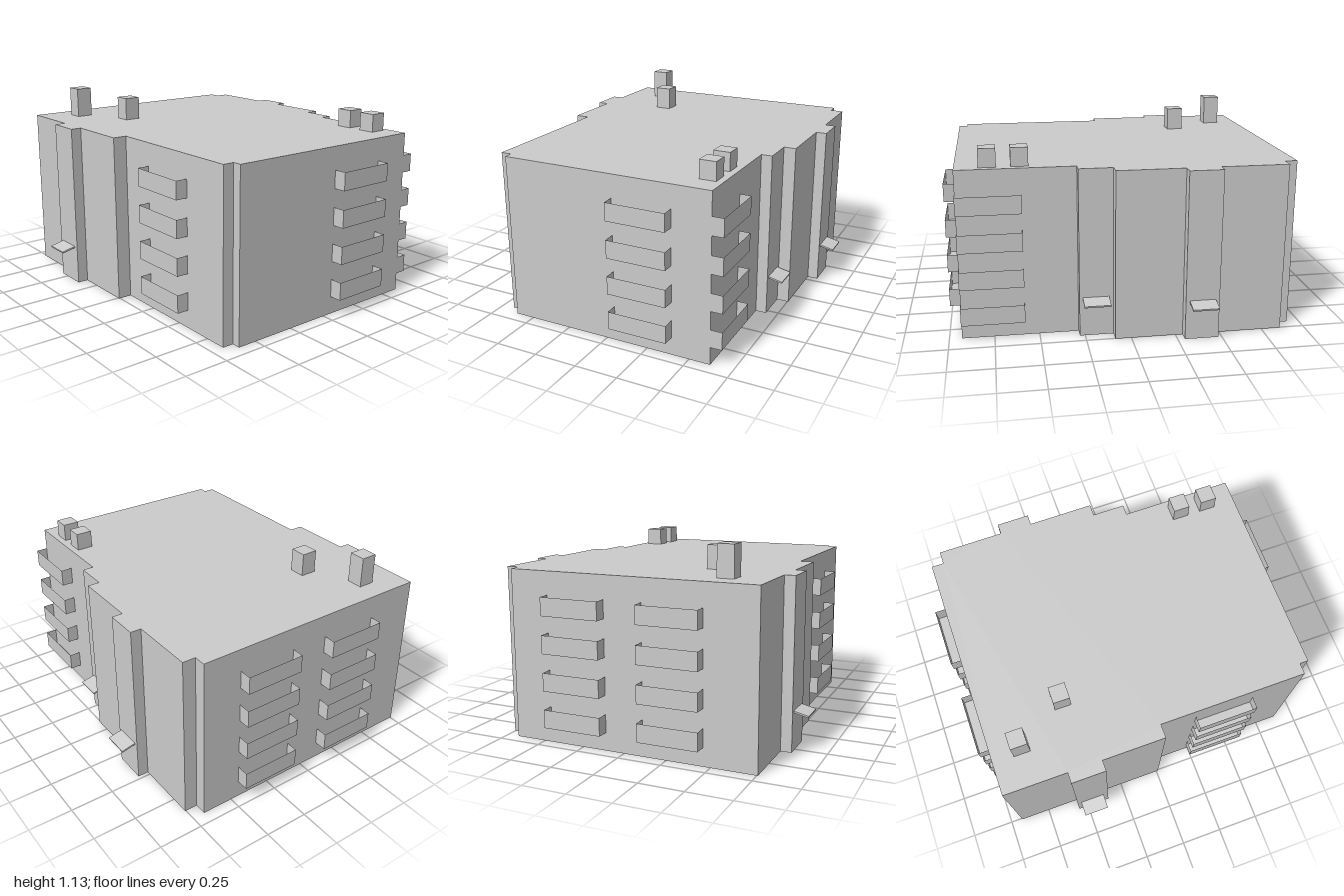
import * as THREE from 'three';

const ROOF_Y = 0.96;

// Plan of the outer wall as [x, z], running from the back right corner along the back
const PLAN = [
  [-0.93, -0.68], [-0.86, -0.68], [-0.86, -0.755], [-0.48, -0.755], [-0.48, -0.817], [-0.29, -0.817],
  [-0.29, -0.755], [0.09, -0.755], [0.09, -0.685], [0.28, -0.685], [0.28, -0.622], [0.93, -0.622],
  [0.93, 0.612], [0.88, 0.612], [0.88, 0.676], [0.01, 0.676], [0.01, 0.756], [-0.36, 0.756],
  [-0.36, 0.818], [-0.56, 0.818], [-0.56, 0.756], [-0.93, 0.756],
];

const solid = new THREE.MeshStandardMaterial({ color: 0xcccccc, flatShading: true });
const thin = new THREE.MeshStandardMaterial({ color: 0xcccccc, flatShading: true, side: THREE.DoubleSide });

function addMesh(parent, name, geometry, material) {
  const mesh = new THREE.Mesh(geometry, material);
  mesh.name = name;
  parent.add(mesh);
  return mesh;
}

// One upright panel for each edge of the plan
function wallGeometry() {
  const points = [];
  PLAN.forEach(([ax, az], i) => {
    const [bx, bz] = PLAN[(i + 1) % PLAN.length];
    points.push(ax, 0, az, ax, ROOF_Y, az, bx, ROOF_Y, bz);
    points.push(ax, 0, az, bx, ROOF_Y, bz, bx, 0, bz);
  });
  const geometry = new THREE.BufferGeometry();
  geometry.setAttribute('position', new THREE.Float32BufferAttribute(points, 3));
  geometry.computeVertexNormals();
  return geometry;
}

// Tray facing local +z, open at the top and towards the wall
function balconyGeometry(width, height, depth) {
  const geometry = new THREE.BoxGeometry(width, height, depth);
  const index = Array.from(geometry.index.array);
  geometry.setIndex([...index.slice(0, 12), ...index.slice(18, 30)]);
  geometry.clearGroups();
  geometry.translate(0, height / 2, depth / 2);
  return geometry;
}

export function createModel() {
  const model = new THREE.Group();
  model.name = 'apartmentBlock';

  // Hollow shell, open underneath
  addMesh(model, 'walls', wallGeometry(), thin);
  const roofShape = new THREE.Shape(PLAN.map(([x, z]) => new THREE.Vector2(x, -z)));
  const roof = new THREE.ShapeGeometry(roofShape).rotateX(-Math.PI / 2).translate(0, ROOF_Y, 0);
  addMesh(model, 'roof', roof, thin);

  // Balcony columns: wall position, direction faced, width, depth
  const columns = [
    ['frontBalcony', 0.408, 0.676, 0, 0.35, 0.068],
    ['backBalcony', 0.755, -0.622, Math.PI, 0.35, 0.066],
    ['leftBalcony', 0.93, -0.226, Math.PI / 2, 0.345, 0.07],
    ['rightRearBalcony', -0.93, -0.28, -Math.PI / 2, 0.345, 0.07],
    ['rightFrontBalcony', -0.93, 0.286, -Math.PI / 2, 0.345, 0.07],
  ];
  for (const [name, x, z, turn, width, depth] of columns) {
    const column = new THREE.Group();
    column.name = name + 'Column';
    column.position.set(x, 0, z);
    column.rotation.y = turn;
    for (let floor = 0; floor < 4; floor++) {
      addMesh(column, name, balconyGeometry(width, 0.103, depth), thin).position.y = 0.102 + floor * 0.208;
    }
    model.add(column);
  }

  // Sloping canopies over the entrances
  const canopies = [
    ['frontCanopy', -0.463, 0.818, 0],
    ['backCanopy', -0.385, -0.817, Math.PI],
    ['sideBackCanopy', 0.188, -0.685, Math.PI],
  ];
  for (const [name, x, z, turn] of canopies) {
    const slab = new THREE.BoxGeometry(0.147, 0.01, 0.086);
    slab.translate(0, 0, 0.041).rotateX(0.22);
    const canopy = addMesh(model, name, slab, solid);
    canopy.position.set(x, 0.222, z);
    canopy.rotation.y = turn;
  }

  // Chimneys: x, z, height above the roof
  for (const [x, z, height] of [[-0.76, 0.527, 0.175], [-0.468, 0.353, 0.133], [0.582, -0.537, 0.103], [0.753, -0.537, 0.103]]) {
    const chimney = new THREE.BoxGeometry(0.095, height, 0.095).translate(0, height / 2, 0);
    addMesh(model, 'chimney', chimney, solid).position.set(x, ROOF_Y, z);
  }

  return model;
}
